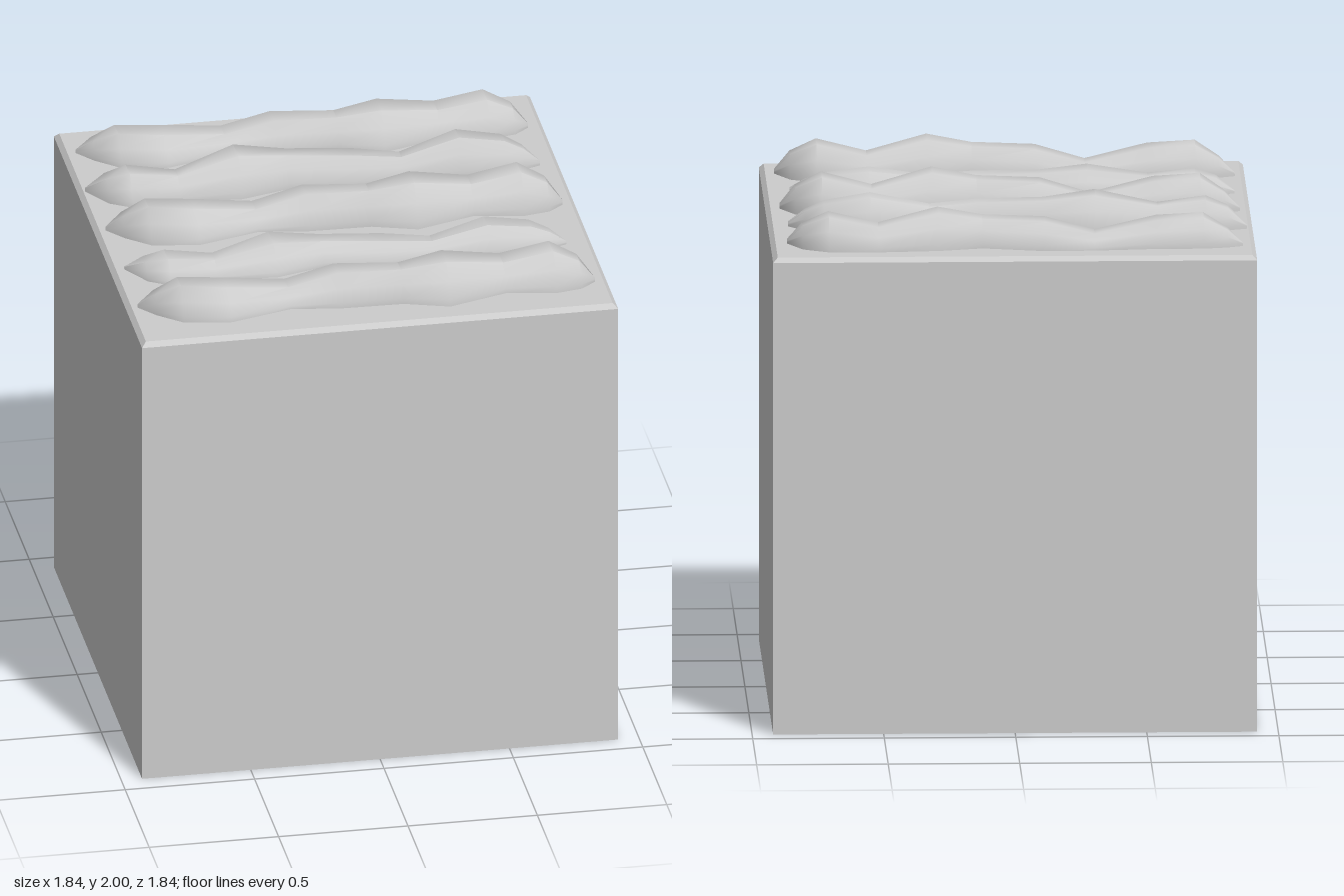
import * as THREE from 'three';
import { toCreasedNormals } from 'three/addons/utils/BufferGeometryUtils.js';

const TOP = 1.845;

// Stations along a ridge: [x, back z, front z, height]
const RIDGE_A = [
  [-0.88, -0.062, -0.058, 0.015], [-0.82, -0.09, 0.02, 0.075], [-0.73, -0.11, 0.10, 0.13],
  [-0.55, -0.11, 0.13, 0.115], [-0.31, -0.135, 0.06, 0.065], [-0.12, -0.14, 0.09, 0.12],
  [0.12, -0.08, 0.095, 0.125], [0.29, -0.125, 0.15, 0.155], [0.52, -0.145, 0.075, 0.1],
  [0.71, -0.14, 0.11, 0.145], [0.81, -0.08, 0.09, 0.095], [0.868, 0.038, 0.042, 0.02],
];
const RIDGE_B = [
  [-0.87, -0.052, -0.048, 0.015], [-0.8, -0.08, 0.07, 0.08], [-0.72, -0.095, 0.12, 0.11],
  [-0.54, -0.055, 0.105, 0.085], [-0.31, -0.15, 0.125, 0.14], [-0.12, -0.1, 0.07, 0.115],
  [0.12, -0.08, 0.1, 0.105], [0.3, -0.04, 0.09, 0.085], [0.52, -0.115, 0.09, 0.135],
  [0.69, -0.09, 0.08, 0.105], [0.76, -0.04, 0.07, 0.07], [0.82, 0.043, 0.047, 0.02],
];
// Cross-section: [fraction across, fraction up]
const SECTION = [[0, -0.1], [0, 0.2], [0.09, 0.6], [0.28, 0.97], [0.68, 1], [0.88, 0.6], [1, 0.2], [1, -0.1]];

function ridgeGeometry(stations) {
  const pos = [], index = [], n = SECTION.length;
  for (const [x, zb, zf, h] of stations) {
    for (const [u, v] of SECTION) pos.push(x, h * v, zb + (zf - zb) * u);
  }
  for (let i = 0; i < stations.length - 1; i++) {
    for (let j = 0; j < n - 1; j++) {
      const a = i * n + j, b = a + n;
      index.push(a, a + 1, b, a + 1, b + 1, b);
    }
  }
  const g = new THREE.BufferGeometry();
  g.setAttribute('position', new THREE.Float32BufferAttribute(pos, 3));
  g.setIndex(index);
  return toCreasedNormals(g, 0.9);
}

// Cube with a small bevel around its upper edge only
function blockGeometry(size, height, bevel) {
  const g = new THREE.BoxGeometry(size, height, size, 1, 2, 1);
  const p = g.attributes.position;
  const k = (size - 2 * bevel) / size;
  for (let i = 0; i < p.count; i++) {
    const y = p.getY(i);
    if (Math.abs(y) < 0.01) p.setY(i, height / 2 - bevel);
    else if (y > 0) {
      p.setX(i, p.getX(i) * k);
      p.setZ(i, p.getZ(i) * k);
    }
  }
  return toCreasedNormals(g.translate(0, height / 2, 0), 0.3);
}

export function createModel() {
  const group = new THREE.Group();
  const material = new THREE.MeshStandardMaterial({ color: 0xcccccc });
  const ridgeMaterial = new THREE.MeshStandardMaterial({ color: 0xcccccc, side: THREE.DoubleSide });

  const block = new THREE.Mesh(blockGeometry(1.84, TOP, 0.018), material);
  block.name = 'soilBlock';
  group.add(block);

  // Five alternating ridges: [shape, z, length scale, height scale]
  const a = ridgeGeometry(RIDGE_A), b = ridgeGeometry(RIDGE_B);
  const rows = [
    [a, -0.67, 0.99, 0.87], [b, -0.35, 1.03, 1], [a, 0, 1, 1], [b, 0.33, 1, 0.72], [a, 0.67, 1, 0.95],
  ];
  rows.forEach(([geometry, z, sx, sy], i) => {
    const ridge = new THREE.Mesh(geometry, ridgeMaterial);
    ridge.name = `soilRidge${i + 1}`;
    ridge.position.set(0, TOP, z);
    ridge.scale.set(sx, sy, 1);
    group.add(ridge);
  });
  return group;
}
